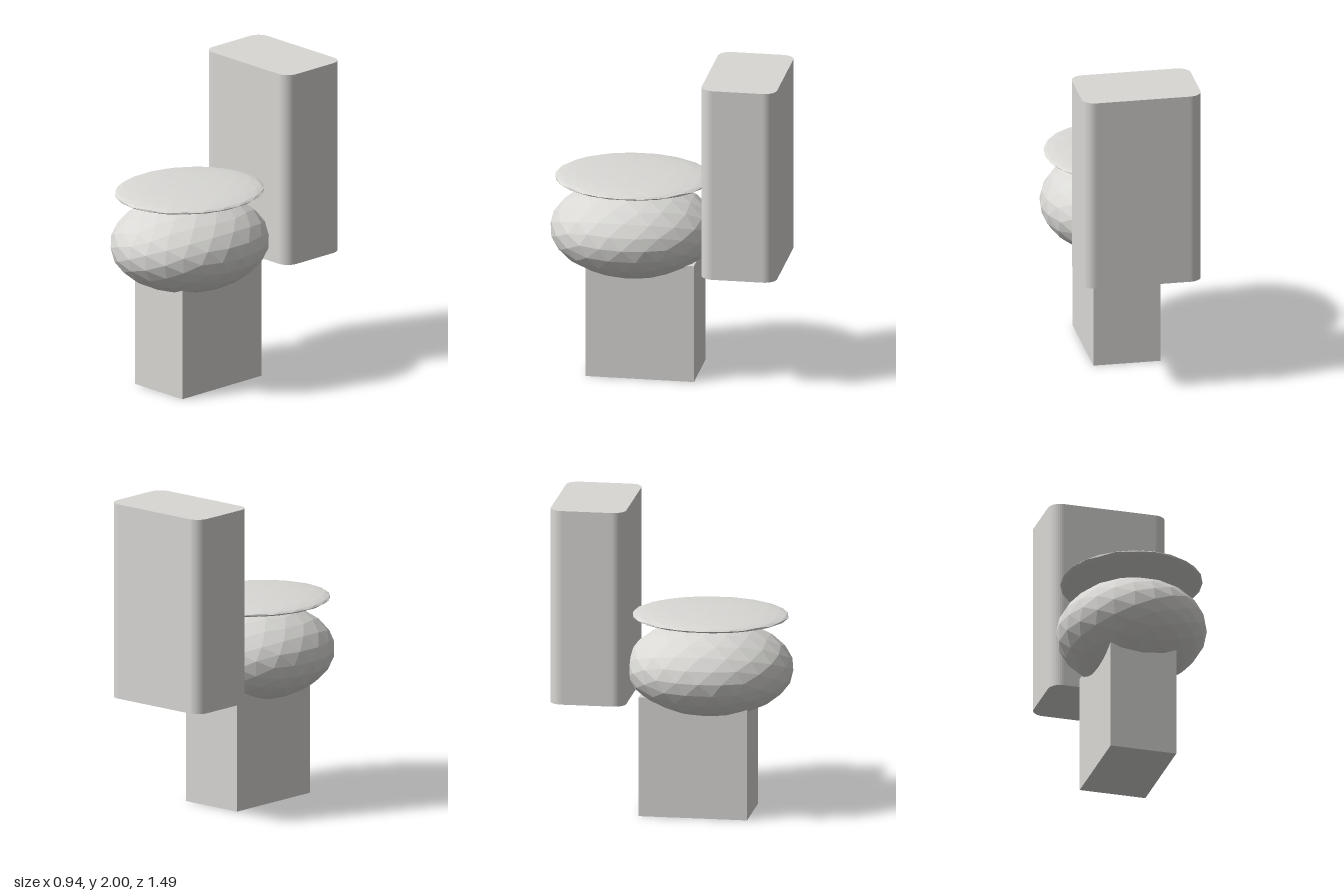
import * as THREE from 'three';

// Faceted ball: an icosahedron split twice, rounded after each split
function facetedBall(rx, ry, rz) {
  const coarse = new THREE.IcosahedronGeometry(1, 1).attributes.position;
  const indices = Array.from({ length: coarse.count }, (_, i) => i);
  const geometry = new THREE.PolyhedronGeometry(Array.from(coarse.array), indices, 1, 1);
  geometry.scale(rx, ry, rz);
  geometry.computeVertexNormals();
  return geometry;
}

// Rectangle with rounded corners, centred on the origin
function roundedRectangle(width, depth, r) {
  const x = width / 2, y = depth / 2;
  const shape = new THREE.Shape();
  shape.moveTo(x, y - r);
  shape.absarc(x - r, y - r, r, 0, Math.PI / 2);
  shape.absarc(-x + r, y - r, r, Math.PI / 2, Math.PI);
  shape.absarc(-x + r, -y + r, r, Math.PI, Math.PI * 1.5);
  shape.absarc(x - r, -y + r, r, Math.PI * 1.5, Math.PI * 2);
  return shape;
}

export function createModel() {
  const model = new THREE.Group();
  model.name = 'toilet';
  const ceramic = new THREE.MeshStandardMaterial({ color: 0xd9d8d5, flatShading: true });
  ceramic.name = 'ceramic';

  function add(name, geometry, x, y, z) {
    const mesh = new THREE.Mesh(geometry, ceramic);
    mesh.name = name;
    mesh.position.set(x, y, z);
    model.add(mesh);
  }

  // Square foot, its top sunk into the bowl
  add('pedestal', new THREE.BoxGeometry(0.43, 0.77, 0.69), 0, 0.385, 0.14);

  // Bowl and the thin lid resting on it
  add('bowl', facetedBall(0.47, 0.3, 0.53), 0, 0.93, 0.215);
  add('lid', facetedBall(0.443, 0.042, 0.497), 0, 1.268, 0.218);

  // Tall cistern with rounded upright corners
  const tank = new THREE.ExtrudeGeometry(roundedRectangle(0.76, 0.48, 0.08), {
    depth: 1.255, bevelEnabled: false, curveSegments: 5,
  });
  tank.rotateX(-Math.PI / 2);
  add('tank', tank, 0, 0.745, -0.51);

  return model;
}
